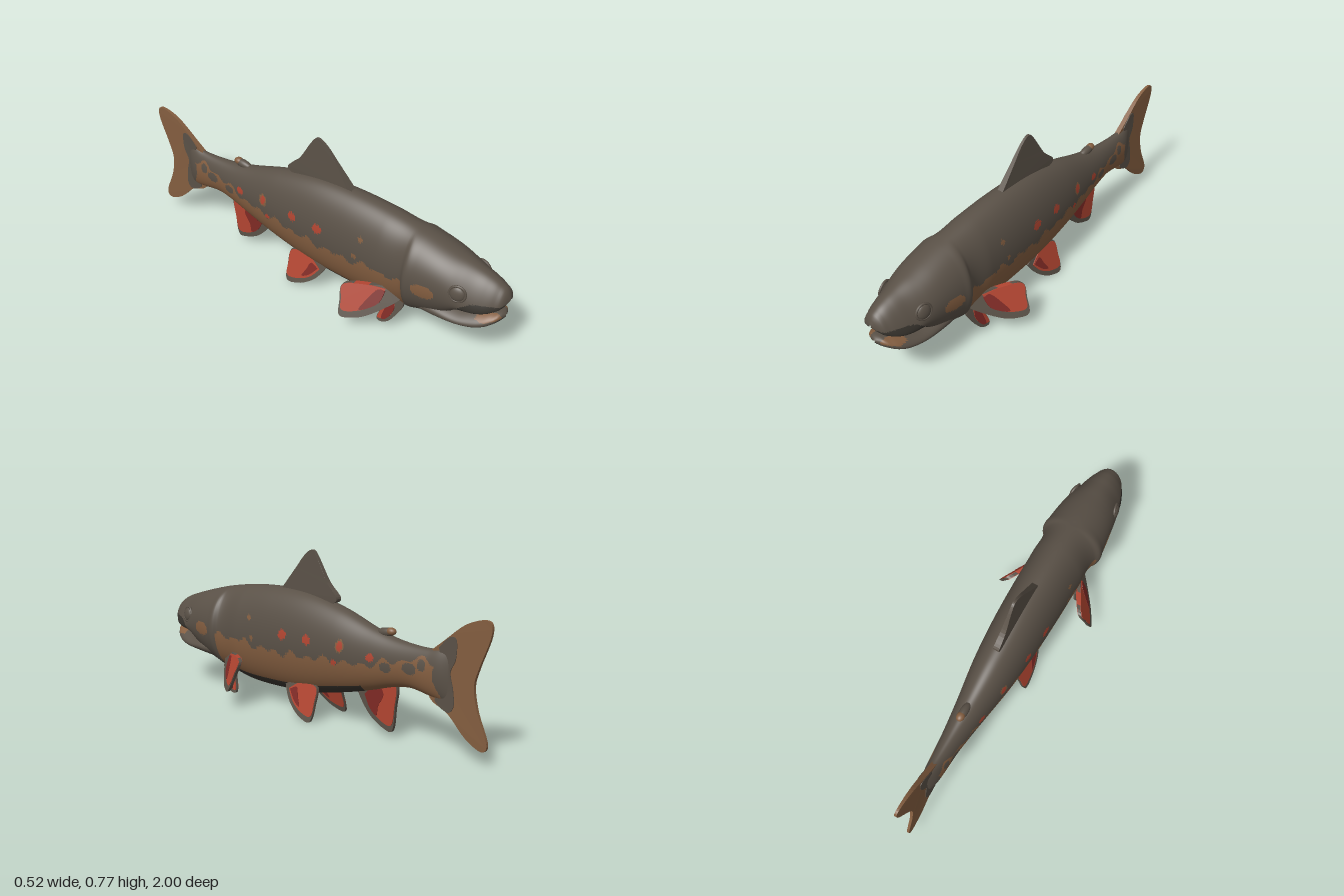
import * as THREE from 'three';

const mat = (name, color) => Object.assign(new THREE.MeshStandardMaterial({ color }), { name });
const olive = mat('olive skin', 0x5a5147);
const brown = mat('brown flank', 0x845e40);
const belly = mat('dark belly', 0x38342e);
const red = mat('red', 0xb24531);
const darkRed = mat('dark red', 0x7f2a25);
const skins = [olive, brown, belly, red];
const OLIVE = 0, BROWN = 1, BELLY = 2, RED = 3;

// Stations: z, top y, bottom y, half width, droop of the sides (arches the upper lip)
const bodyRows = [
  [0.995, 0.365, 0.355, 0.004, 0], [0.985, 0.392, 0.342, 0.04, 0.02], [0.95, 0.422, 0.335, 0.076, 0.055],
  [0.9, 0.445, 0.332, 0.102, 0.08], [0.85, 0.461, 0.315, 0.116, 0.08], [0.8, 0.477, 0.265, 0.126, 0.05],
  [0.76, 0.488, 0.21, 0.133, 0.02], [0.7, 0.505, 0.165, 0.142, 0], [0.6, 0.53, 0.133, 0.154, 0],
  [0.56, 0.538, 0.122, 0.157, 0], [0.54, 0.542, 0.116, 0.141, 0], [0.4, 0.565, 0.09, 0.133, 0],
  [0.2, 0.58, 0.089, 0.129, 0], [0, 0.573, 0.105, 0.121, 0], [-0.2, 0.535, 0.145, 0.104, 0],
  [-0.4, 0.475, 0.2, 0.075, 0], [-0.5, 0.452, 0.232, 0.061, 0], [-0.6, 0.441, 0.25, 0.049, 0],
  [-0.7, 0.44, 0.238, 0.041, 0], [-0.76, 0.448, 0.23, 0.033, 0], [-0.8, 0.45, 0.23, 0.016, 0],
  [-0.82, 0.44, 0.24, 0.002, 0],
];
const jawRows = [
  [0.985, 0.275, 0.265, 0.004, 0], [0.975, 0.285, 0.25, 0.035, 0], [0.94, 0.286, 0.225, 0.074, 0.01],
  [0.9, 0.28, 0.207, 0.095, 0.015], [0.85, 0.27, 0.196, 0.109, 0.015], [0.8, 0.26, 0.187, 0.117, 0.01],
  [0.7, 0.26, 0.168, 0.12, 0], [0.6, 0.26, 0.16, 0.11, 0],
];

// Smooth tube through the stations; paint(x, y, z, relative height) picks each face's colour
function loft(name, rows, rings, sides, paint) {
  const sampler = new THREE.CubicInterpolant(rows.map(r => -r[0]), rows.flatMap(r => r.slice(1)), 4);
  const z0 = rows[0][0], z1 = rows[rows.length - 1][0];
  const pos = [], heights = [], buckets = skins.map(() => []);
  for (let i = 0; i <= rings; i++) {
    const z = THREE.MathUtils.lerp(z0, z1, i / rings);
    const [top, bottom, width, droop] = sampler.evaluate(-z);
    for (let j = 0; j < sides; j++) {
      const a = j / sides * Math.PI * 2, c = Math.cos(a);
      const y = (top + bottom) / 2 + (top - bottom) / 2 * Math.sin(a) - droop * c * c;
      pos.push(width * c, y, z);
      heights.push((y - bottom) / (top - bottom));
    }
  }
  const addFace = (...f) => {
    const mean = k => (pos[f[0] * 3 + k] + pos[f[1] * 3 + k] + pos[f[2] * 3 + k]) / 3;
    const h = (heights[f[0]] + heights[f[1]] + heights[f[2]]) / 3;
    buckets[paint(mean(0), mean(1), mean(2), h)].push(...f);
  };
  for (let i = 0; i < rings; i++) for (let j = 0; j < sides; j++) {
    const k = (j + 1) % sides;
    const a = i * sides + j, b = i * sides + k, c = b + sides, d = a + sides;
    addFace(a, d, b);
    addFace(b, d, c);
  }
  const geo = new THREE.BufferGeometry();
  geo.setAttribute('position', new THREE.Float32BufferAttribute(pos, 3));
  geo.setIndex(buckets.flat());
  let start = 0;
  buckets.forEach((b, m) => { if (b.length) geo.addGroup(start, b.length, m); start += b.length; });
  geo.computeVertexNormals();
  const mesh = new THREE.Mesh(geo, skins);
  mesh.name = name;
  return mesh;
}

// Upper edge of the brown flank, as z and y
const edge = [[0.56, 0.305], [0.4, 0.315], [0.2, 0.295], [0, 0.3], [-0.2, 0.315], [-0.35, 0.315],
  [-0.45, 0.34], [-0.55, 0.365], [-0.65, 0.39], [-0.8, 0.4]];
const edgeLine = new THREE.LinearInterpolant(edge.map(p => -p[0]), edge.map(p => p[1]), 1);

// Spots: z, y, radius along z, radius along y, colour
const spots = [
  [0.655, 0.325, 0.055, 0.034, BROWN], [0.315, 0.43, 0.013, 0.013, BROWN], [0.29, 0.335, 0.013, 0.013, BROWN],
  [0.08, 0.385, 0.026, 0.024, RED], [-0.07, 0.385, 0.024, 0.022, RED], [-0.26, 0.385, 0.015, 0.022, RED],
  [-0.26, 0.385, 0.024, 0.03, BROWN], [-0.23, 0.308, 0.015, 0.013, RED], [-0.42, 0.36, 0.021, 0.018, RED],
  [-0.5, 0.33, 0.03, 0.022, OLIVE], [-0.62, 0.345, 0.035, 0.025, OLIVE], [-0.68, 0.37, 0.02, 0.025, OLIVE],
];

function paintBody(x, y, z, h) {
  for (const [sz, sy, rz, ry, colour] of spots)
    if (((z - sz) / rz) ** 2 + ((y - sy) / ry) ** 2 < 1) return colour;
  if (z > -0.35 && h < 0.1) return BELLY;
  if (z > 0.55 || z < -0.755 + 0.02 * Math.cos((y - 0.34) * 25)) return OLIVE;
  const wave = 0.012 * Math.sin(z * 62) + 0.009 * Math.sin(z * 37 + 1);
  return y < edgeLine.evaluate(-z)[0] + wave ? BROWN : OLIVE;
}

function paintJaw(x, y, z, h) {
  if (h < 0.18) return BELLY;
  const ax = Math.abs(x);
  return z > 0.88 && h > 0.45 && ax > 0.03 && ax < 0.085 ? BROWN : OLIVE;
}

// Thin plate from a z, y outline; bend(z, y, w) gives the x of each corner
function plate(name, material, points, thickness, bend = (z, y, w) => w) {
  const pts = points.map(([z, y]) => new THREE.Vector2(-z, y));
  const shape = new THREE.Shape().moveTo(pts[0].x, pts[0].y);
  shape.splineThru([...pts.slice(1), pts[0]]);
  const geo = new THREE.ExtrudeGeometry(shape, { depth: thickness, bevelEnabled: false, curveSegments: 5 });
  geo.translate(0, 0, -thickness / 2).rotateY(Math.PI / 2);
  const p = geo.attributes.position;
  for (let i = 0; i < p.count; i++) p.setX(i, bend(p.getZ(i), p.getY(i), p.getX(i)));
  geo.computeVertexNormals();
  const mesh = new THREE.Mesh(geo, material);
  mesh.name = name;
  return mesh;
}

// Fin with an olive margin, a red web and a dark red patch
function redFin(name, { outline, web, patch }, thickness, bend) {
  const fin = new THREE.Group();
  fin.name = name;
  fin.add(plate('finMargin', olive, outline, thickness, bend),
    plate('finWeb', red, web, thickness + 0.006, bend),
    plate('finPatch', darkRed, patch, thickness + 0.01, bend));
  return fin;
}

const pectoral = {
  outline: [[0.54, 0.2], [0.47, 0.235], [0.38, 0.235], [0.29, 0.23], [0.295, 0.16], [0.31, 0.095], [0.36, 0.088], [0.42, 0.105], [0.5, 0.16]],
  web: [[0.46, 0.225], [0.38, 0.236], [0.292, 0.229], [0.3, 0.17], [0.314, 0.12], [0.37, 0.12], [0.43, 0.15]],
  patch: [[0.46, 0.215], [0.43, 0.22], [0.4, 0.175], [0.38, 0.13], [0.41, 0.135], [0.45, 0.165]],
};
const gillFin = {
  outline: [[0.49, 0.19], [0.54, 0.16], [0.51, 0.09], [0.475, 0.045], [0.435, 0.03], [0.42, 0.05], [0.45, 0.13]],
  web: [[0.49, 0.17], [0.5, 0.12], [0.475, 0.065], [0.432, 0.045], [0.425, 0.06], [0.455, 0.13]],
  patch: [[0.49, 0.165], [0.5, 0.12], [0.475, 0.065], [0.445, 0.052], [0.46, 0.12]],
};
const pelvic = {
  outline: [[0.1, 0.14], [0.07, 0.09], [0.03, 0.05], [-0.03, 0.015], [-0.1, 0.005], [-0.11, 0.08], [-0.1, 0.165], [0, 0.18]],
  web: [[0.07, 0.125], [0.03, 0.075], [-0.03, 0.04], [-0.1, 0.03], [-0.107, 0.09], [-0.098, 0.16], [0, 0.165]],
  patch: [[0.06, 0.125], [0.02, 0.08], [-0.02, 0.06], [0, 0.1], [0.02, 0.14]],
};
const anal = {
  outline: [[-0.29, 0.18], [-0.33, 0.12], [-0.38, 0.07], [-0.45, 0.035], [-0.5, 0.035], [-0.515, 0.14], [-0.52, 0.25], [-0.4, 0.25]],
  web: [[-0.34, 0.17], [-0.38, 0.105], [-0.44, 0.065], [-0.496, 0.06], [-0.512, 0.14], [-0.516, 0.24], [-0.42, 0.24]],
  patch: [[-0.34, 0.17], [-0.37, 0.115], [-0.41, 0.085], [-0.42, 0.13], [-0.45, 0.19], [-0.41, 0.23]],
};

function ball(name, material, [x, y, z], [sx, sy, sz]) {
  const mesh = new THREE.Mesh(new THREE.SphereGeometry(1, 20, 14), material);
  mesh.position.set(x, y, z);
  mesh.scale.set(sx, sy, sz);
  mesh.name = name;
  return mesh;
}

export function createModel() {
  const fish = new THREE.Group();
  fish.name = 'fish';
  fish.add(loft('body', bodyRows, 240, 96, paintBody), loft('lowerJaw', jawRows, 50, 56, paintJaw));

  // Fins on the midline
  fish.add(plate('dorsalFin', olive, [[0.2, 0.57], [0.11, 0.675], [0.05, 0.745], [0, 0.775], [-0.035, 0.745],
    [-0.1, 0.64], [-0.165, 0.575], [-0.13, 0.545], [0, 0.53]], 0.03,
  (z, y, w) => w * (1 - 0.6 * THREE.MathUtils.smoothstep(y, 0.56, 0.78))));
  const tailBend = (z, y, w) => w * (1 - 0.5 * THREE.MathUtils.smoothstep(-z, 0.75, 1));
  fish.add(plate('tailFin', brown, [[-0.7, 0.43], [-0.77, 0.485], [-0.87, 0.565], [-0.95, 0.597], [-0.995, 0.59],
    [-0.995, 0.53], [-0.945, 0.4], [-0.925, 0.32], [-0.945, 0.22], [-0.995, 0.1], [-0.97, 0.062], [-0.89, 0.1],
    [-0.8, 0.185], [-0.7, 0.245]], 0.024, tailBend));
  fish.add(plate('tailBand', olive, [[-0.75, 0.455], [-0.8, 0.505], [-0.835, 0.5], [-0.835, 0.42], [-0.81, 0.36],
    [-0.825, 0.29], [-0.83, 0.22], [-0.8, 0.19], [-0.735, 0.228], [-0.77, 0.28], [-0.775, 0.35]], 0.03, tailBend));
  fish.add(redFin('analFin', anal, 0.014));
  const adipose = ball('adiposeFin', olive, [0, 0.466, -0.45], [0.02, 0.021, 0.05]);
  adipose.rotation.x = 0.15;
  fish.add(adipose, ball('adiposeTip', brown, [0, 0.474, -0.48], [0.019, 0.017, 0.024]));

  // Paired parts
  for (const [side, s] of [['left', 1], ['right', -1]]) {
    fish.add(redFin(side + 'PectoralFin', pectoral, 0.018,
      (z, y, w) => w + s * (0.12 - 0.539 * (z - 0.47) - 0.489 * (y - 0.19))));
    fish.add(redFin(side + 'GillFin', gillFin, 0.012, (z, y, w) => w + s * (0.118 - 0.22 * (y - 0.03))));
    fish.add(redFin(side + 'PelvicFin', pelvic, 0.012, (z, y, w) => w + s * (0.118 - 0.3 * y)));
    const eye = new THREE.Group();
    eye.name = side + 'Eye';
    const rim = new THREE.Mesh(new THREE.TorusGeometry(0.036, 0.006, 8, 28), olive);
    rim.name = 'eyeRim';
    rim.rotation.y = Math.PI / 2;
    eye.add(rim, ball('eyeball', olive, [0, 0, 0], [0.014, 0.034, 0.034]));
    eye.position.set(s * 0.114, 0.37, 0.805);
    eye.rotation.set(0, -s * 0.2, s * 0.15);
    fish.add(eye);
  }
  return fish;
}
